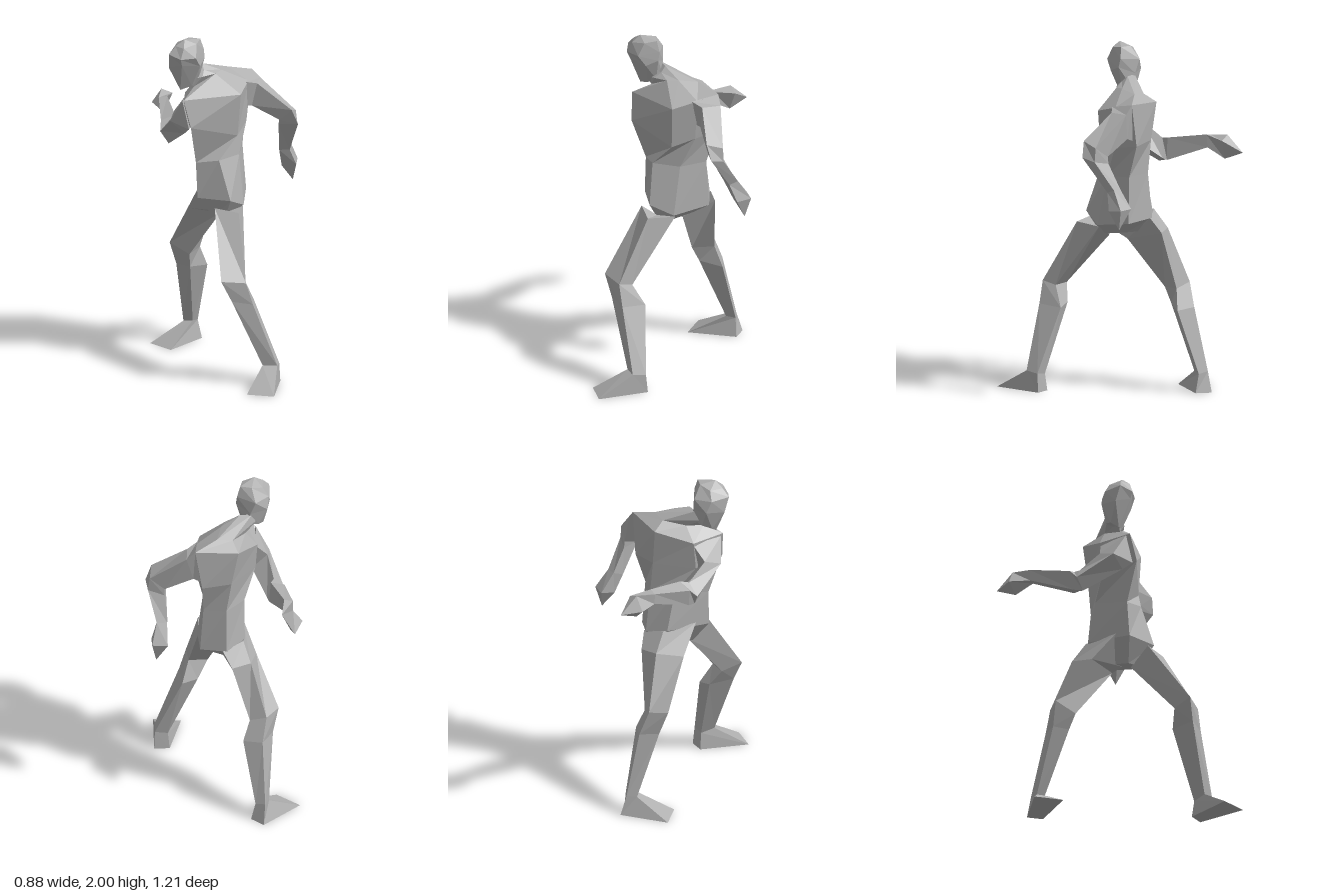
import * as THREE from 'three';

const grey = new THREE.MeshStandardMaterial({ color: 0xb0b0b0, flatShading: true });
grey.name = 'plainGrey';

// Skins a row of cross-section loops, closing both ends; a one-point loop makes a tip
function loft(name, rings) {
  const n = rings[0].length;
  const pos = [];
  const at = (r, i) => r[i % r.length];
  const tri = (a, b, c) => pos.push(...a, ...b, ...c);
  for (let k = 0; k < rings.length - 1; k++) {
    const lo = rings[k], hi = rings[k + 1];
    for (let i = 0; i < n; i++) {
      const j = (i + 1) % n;
      tri(at(lo, i), at(lo, j), at(hi, j));
      if (hi.length > 1) tri(at(lo, i), at(hi, j), at(hi, i));
    }
  }
  const cap = (ring, flip) => {
    if (ring.length === 1) return;
    const c = [0, 1, 2].map(a => ring.reduce((s, p) => s + p[a], 0) / ring.length);
    for (let i = 0; i < n; i++) {
      const p = ring[i], q = ring[(i + 1) % n];
      flip ? tri(c, q, p) : tri(c, p, q);
    }
  };
  cap(rings[0], true);
  cap(rings[rings.length - 1], false);

  // Turn the skin outward if its enclosed volume is negative
  let volume = 0;
  const a = new THREE.Vector3(), b = new THREE.Vector3(), c = new THREE.Vector3();
  for (let i = 0; i < pos.length; i += 9) {
    a.fromArray(pos, i); b.fromArray(pos, i + 3); c.fromArray(pos, i + 6);
    volume += a.dot(b.cross(c));
  }
  if (volume < 0) {
    for (let i = 0; i < pos.length; i += 9) {
      for (let k = 0; k < 3; k++) {
        [pos[i + 3 + k], pos[i + 6 + k]] = [pos[i + 6 + k], pos[i + 3 + k]];
      }
    }
  }
  const geo = new THREE.BufferGeometry();
  geo.setAttribute('position', new THREE.Float32BufferAttribute(pos, 3));
  geo.computeVertexNormals();
  const mesh = new THREE.Mesh(geo, grey);
  mesh.name = name;
  return mesh;
}

export function createModel() {
  const group = new THREE.Group();
  group.name = 'walkingFigure';

  // Torso: loops run front-left, left, back-left, back-right, right, front-right
  const neckBase = [[-0.03, 1.765, 0.03], [0, 1.77, -0.03], [0.03, 1.755, -0.14], [-0.06, 1.745, -0.14], [-0.14, 1.72, -0.03], [-0.15, 1.7, 0.08]];
  group.add(loft('torso', [
    [[0.03, 0.91, 0.1], [0.06, 0.92, 0.03], [0.05, 0.94, -0.1], [-0.02, 0.94, -0.14], [-0.05, 0.93, -0.08], [-0.04, 0.91, 0.07]],
    [[0.07, 1.04, 0.175], [0.135, 0.98, 0.05], [0.13, 1.01, -0.17], [-0.02, 1.03, -0.23], [-0.13, 1.06, -0.15], [-0.125, 1.04, 0.13]],
    [[0, 1.27, 0.13], [0.105, 1.27, 0], [0.11, 1.28, -0.16], [-0.02, 1.29, -0.2], [-0.13, 1.3, -0.1], [-0.135, 1.25, 0.12]],
    [[0.1, 1.4, 0.05], [0.14, 1.45, -0.08], [0.12, 1.47, -0.22], [-0.05, 1.48, -0.2], [-0.2, 1.46, 0], [-0.157, 1.485, 0.2]],
    [[0.12, 1.65, 0.055], [0.15, 1.69, -0.09], [0.16, 1.72, -0.215], [-0.09, 1.7, -0.21], [-0.21, 1.63, -0.02], [-0.2, 1.645, 0.18]],
    neckBase,
  ]));
  group.add(loft('neck', [
    neckBase,
    [[-0.1, 1.76, 0.08], [-0.095, 1.79, 0.04], [-0.11, 1.82, 0.01], [-0.18, 1.82, 0.01], [-0.22, 1.77, 0.04], [-0.19, 1.74, 0.1]],
  ]));

  // Head: jaw, cheeks, brow, crown
  group.add(loft('head', [
    [[-0.125, 1.74, 0.06], [-0.16, 1.71, 0.1], [-0.225, 1.69, 0.12], [-0.25, 1.72, 0.08], [-0.22, 1.74, 0.03], [-0.15, 1.75, 0.01]],
    [[-0.09, 1.87, 0.06], [-0.11, 1.84, 0.13], [-0.21, 1.86, 0.19], [-0.29, 1.83, 0.14], [-0.27, 1.84, 0.03], [-0.17, 1.83, 0]],
    [[-0.095, 1.92, 0.05], [-0.13, 1.9, 0.17], [-0.215, 1.9, 0.207], [-0.288, 1.92, 0.17], [-0.28, 1.91, 0.06], [-0.2, 1.91, -0.01]],
    [[-0.115, 1.985, 0.06], [-0.13, 1.975, 0.13], [-0.2, 1.96, 0.18], [-0.25, 1.965, 0.15], [-0.245, 1.965, 0.07], [-0.18, 1.985, 0.04]],
    [[-0.2, 2, 0.13]],
  ]));

  // Left arm: loops run front-outer, back-outer, back-inner, front-inner
  const leftWrist = [[0.38, 1.24, -0.2], [0.385, 1.26, -0.25], [0.325, 1.26, -0.25], [0.32, 1.24, -0.19]];
  group.add(loft('leftArm', [
    [[0.14, 1.69, -0.06], [0.16, 1.72, -0.215], [0.12, 1.5, -0.2], [0.13, 1.54, -0.08]],
    [[0.2, 1.67, -0.1], [0.21, 1.67, -0.21], [0.17, 1.52, -0.19], [0.17, 1.535, -0.1]],
    [[0.405, 1.53, -0.05], [0.42, 1.5, -0.145], [0.335, 1.44, -0.17], [0.33, 1.46, -0.08]],
    [[0.44, 1.44, -0.065], [0.43, 1.42, -0.145], [0.335, 1.4, -0.175], [0.325, 1.43, -0.09]],
    leftWrist,
  ]));
  group.add(loft('leftHand', [
    leftWrist,
    [[0.415, 1.14, -0.235], [0.415, 1.15, -0.32], [0.325, 1.15, -0.33], [0.33, 1.13, -0.24]],
    [[0.39, 1.03, -0.29]],
  ]));

  // Right arm, bent and reaching back: outer-top, inner-top, inner-bottom, outer-bottom
  const rightWrist = [[-0.395, 1.475, -0.38], [-0.345, 1.485, -0.38], [-0.345, 1.41, -0.39], [-0.39, 1.41, -0.38]];
  group.add(loft('rightArm', [
    [[-0.21, 1.635, 0.16], [-0.2, 1.62, -0.02], [-0.16, 1.46, 0.02], [-0.17, 1.47, 0.18]],
    [[-0.285, 1.5, 0.12], [-0.27, 1.53, 0.02], [-0.18, 1.44, 0.02], [-0.2, 1.43, 0.13]],
    [[-0.36, 1.37, -0.08], [-0.3, 1.44, -0.1], [-0.26, 1.33, -0.13], [-0.31, 1.3, -0.07]],
    [[-0.36, 1.42, -0.13], [-0.28, 1.45, -0.15], [-0.27, 1.32, -0.155], [-0.33, 1.31, -0.12]],
    rightWrist,
  ]));
  group.add(loft('rightHand', [
    rightWrist,
    [[-0.39, 1.49, -0.5], [-0.325, 1.465, -0.505], [-0.375, 1.35, -0.49], [-0.445, 1.41, -0.49]],
    [[-0.395, 1.395, -0.605]],
  ]));

  // Legs: loops run front-outer, back-outer, back-inner, front-inner
  const leftAnkle = [[0.36, 0.12, 0.39], [0.365, 0.11, 0.31], [0.29, 0.1, 0.31], [0.275, 0.12, 0.39]];
  group.add(loft('leftLeg', [
    [[0.12, 0.98, 0.205], [0.13, 0.97, 0.04], [0, 0.9, 0.06], [-0.02, 1, 0.19]],
    [[0.18, 0.62, 0.405], [0.17, 0.6, 0.32], [0.06, 0.6, 0.32], [0.04, 0.635, 0.44]],
    [[0.22, 0.49, 0.4], [0.21, 0.48, 0.255], [0.12, 0.5, 0.27], [0.1, 0.51, 0.42]],
    leftAnkle,
  ]));
  group.add(loft('leftFoot', [
    leftAnkle,
    [[0.36, 0, 0.6], [0.37, 0, 0.3], [0.28, 0, 0.3], [0.2, 0, 0.575]],
  ]));

  const rightAnkle = [[-0.255, 0.11, -0.42], [-0.23, 0.12, -0.475], [-0.175, 0.11, -0.45], [-0.2, 0.12, -0.4]];
  group.add(loft('rightLeg', [
    [[-0.13, 1.07, 0.04], [-0.12, 1.06, -0.17], [0, 1.03, -0.23], [0, 0.92, 0]],
    [[-0.2, 0.91, -0.08], [-0.16, 0.95, -0.24], [-0.05, 0.94, -0.275], [-0.01, 0.89, -0.06]],
    [[-0.32, 0.64, -0.25], [-0.245, 0.63, -0.335], [-0.15, 0.6, -0.31], [-0.2, 0.59, -0.19]],
    [[-0.285, 0.5, -0.29], [-0.22, 0.49, -0.385], [-0.11, 0.48, -0.345], [-0.2, 0.5, -0.235]],
    rightAnkle,
  ]));
  group.add(loft('rightFoot', [
    rightAnkle,
    [[-0.44, 0, -0.32], [-0.22, 0, -0.51], [-0.15, 0, -0.445], [-0.31, 0, -0.205]],
  ]));

  return group;
}
